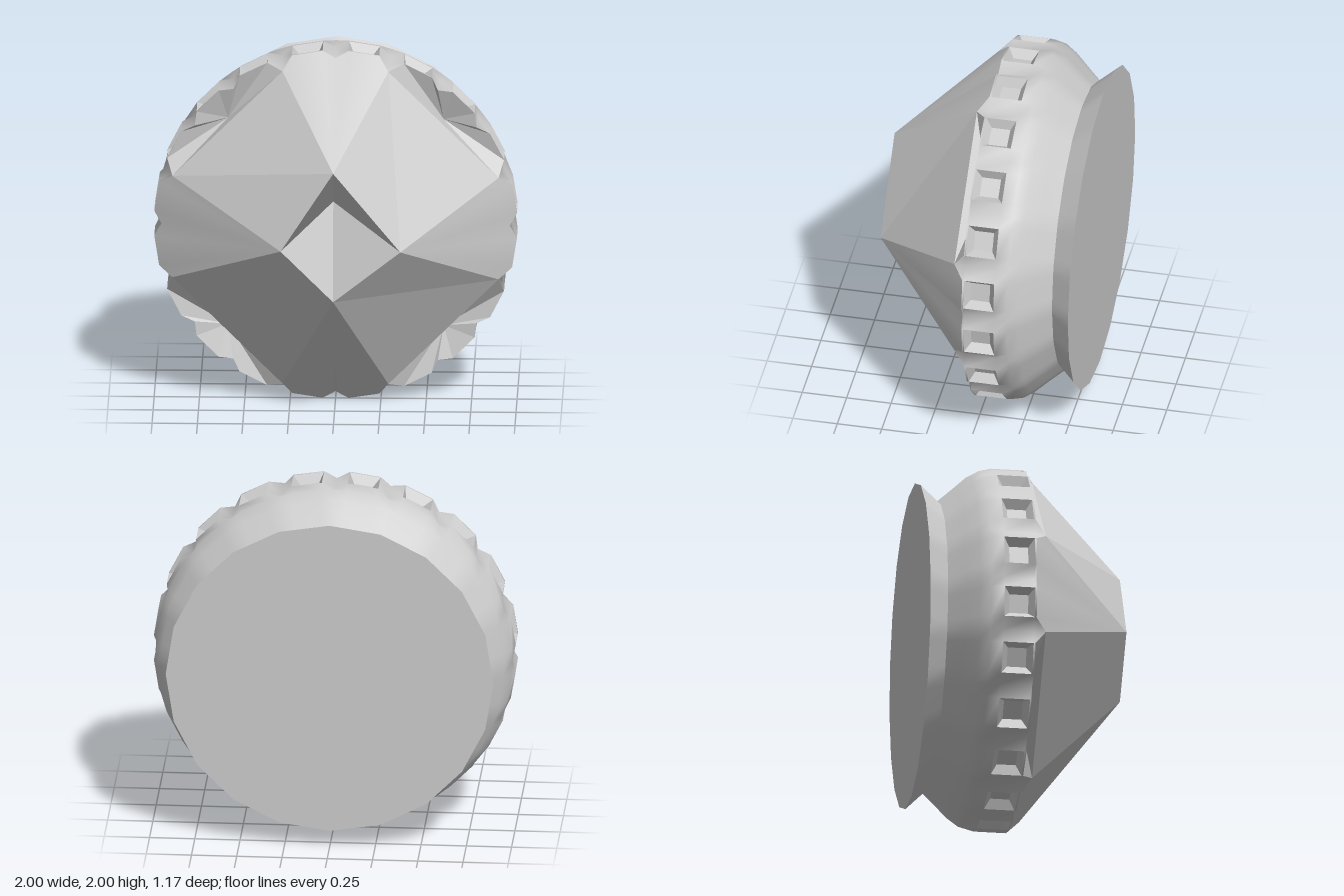
import * as THREE from 'three';
import { mergeVertices } from 'three/addons/utils/BufferGeometryUtils.js';

const material = new THREE.MeshStandardMaterial({ color: 0xcccccc });

// Point around the z axis, angle in degrees
function polar(deg, r, z) {
  const a = THREE.MathUtils.degToRad(deg);
  return new THREE.Vector3(r * Math.cos(a), r * Math.sin(a), z);
}

// Each polygon is fanned into triangles; smooth parts share their normals
function addPart(group, name, polygons, smooth = false) {
  const pos = [];
  for (const p of polygons) {
    for (let i = 1; i < p.length - 1; i++) {
      for (const v of [p[0], p[i], p[i + 1]]) pos.push(v.x, v.y, v.z);
    }
  }
  let geo = new THREE.BufferGeometry();
  geo.setAttribute('position', new THREE.Float32BufferAttribute(pos, 3));
  if (smooth) geo = mergeVertices(geo, 1e-4);
  geo.computeVertexNormals();
  const mesh = new THREE.Mesh(geo, material);
  mesh.name = name;
  group.add(mesh);
}

export function createModel() {
  const group = new THREE.Group();
  group.name = 'facetedKnob';
  const HALF_GAP = 4.1;

  // Body rows, front to back: z, radius at window edges, radius at gap centres
  const rows = [
    [0, 1.002, 0.96], [-0.01, 1.002, 0.96], [-0.18, 1.002, 0.965],
    [-0.25, 0.985, 0.985], [-0.31, 0.945, 0.95], [-0.38, 0.88, 0.885], [-0.47, 0.8, 0.805],
  ];

  // Three columns per gap, 20 gaps; the facet corners sit on some gap centres
  const columns = [];
  for (let k = 0; k < 20; k++) {
    for (const d of [-HALF_GAP, 0, HALF_GAP]) {
      const a = 18 * k + d;
      const pts = rows.map(([z, rEdge, rGap]) => polar(a, d ? rEdge : rGap, z));
      if (d === 0 && (k % 5 === 1 || k % 5 === 4)) pts[0] = polar(a, 0.945, 0.06);
      // Flared back rim, a 20-sided polygon
      const off = THREE.MathUtils.degToRad(9 - Math.abs(d));
      const flare = polar(a, 0.905 * Math.cos(Math.PI / 20) / Math.cos(off), -0.58);
      flare.z -= 0.01 * flare.y;
      columns.push({ pts, flare });
    }
  }
  const col = (i) => columns[(i + columns.length) % columns.length];
  const front = (i) => col(i).pts[0];

  const shell = [], flare = [], frames = [], floors = [];
  for (let i = 0; i < columns.length; i++) {
    const a = col(i), b = col(i + 1);
    for (let r = 0; r < rows.length - 1; r++) {
      const quad = [a.pts[r], a.pts[r + 1], b.pts[r + 1], b.pts[r]];
      if (i % 3 !== 2 || r !== 1) {
        shell.push(quad);
        continue;
      }
      // Window cell: bevelled frame around a sunken floor
      const mid = quad.reduce((s, p) => s.add(p), new THREE.Vector3()).multiplyScalar(0.25);
      const sink = new THREE.Vector3(mid.x, mid.y, 0).setLength(0.05);
      const inner = quad.map((p) => p.clone().lerp(mid, 0.38).sub(sink));
      floors.push(inner);
      for (let e = 0; e < 4; e++) {
        const f = (e + 1) % 4;
        frames.push([quad[e], quad[f], inner[f], inner[e]]);
      }
    }
    flare.push([a.pts.at(-1), a.flare, b.flare, b.pts.at(-1)]);
  }
  addPart(group, 'bodyShell', shell, true);
  addPart(group, 'windowFrames', frames);
  addPart(group, 'windowFloors', floors);
  addPart(group, 'backFlare', flare, true);
  addPart(group, 'backCap', [columns.map((c) => c.flare).reverse()]);

  // Nose corners in order right, top, left, bottom, around a deep pit
  const nose = [[0.37, 0.02], [0, 0.47], [-0.29, 0.02], [0, -0.27]]
    .map(([x, y]) => new THREE.Vector3(x, y, 0.585));
  const pitBottom = new THREE.Vector3(-0.02, 0.04, -0.3);

  const pit = [], facets = [], grooves = [];
  for (let q = 0; q < 4; q++) {
    const n = nose[q], next = nose[(q + 1) % 4];
    const c = q * 15 + 1; // column on this quarter's axis
    const cornerA = front(c + 3), cornerB = front(c + 12);
    pit.push([pitBottom, n, next]);
    facets.push([n, cornerA, cornerB, next]);

    // Fluted fan from the nose corner to the rim
    const flute = [];
    for (let i = -3; i < 3; i++) flute.push([n, front(c + i), front(c + i + 1)]);
    addPart(group, 'flute', flute, true);

    // Groove between the facet's outer edge and the rim
    const valley = polar(q * 90 + 45, 0.84, -0.06);
    grooves.push([cornerB, cornerA, valley]);
    for (let i = 3; i < 12; i++) grooves.push([valley, front(c + i), front(c + i + 1)]);
  }
  addPart(group, 'nosePit', pit);
  addPart(group, 'frontFacets', facets);
  addPart(group, 'rimGrooves', grooves);

  group.position.y = 1;
  return group;
}
